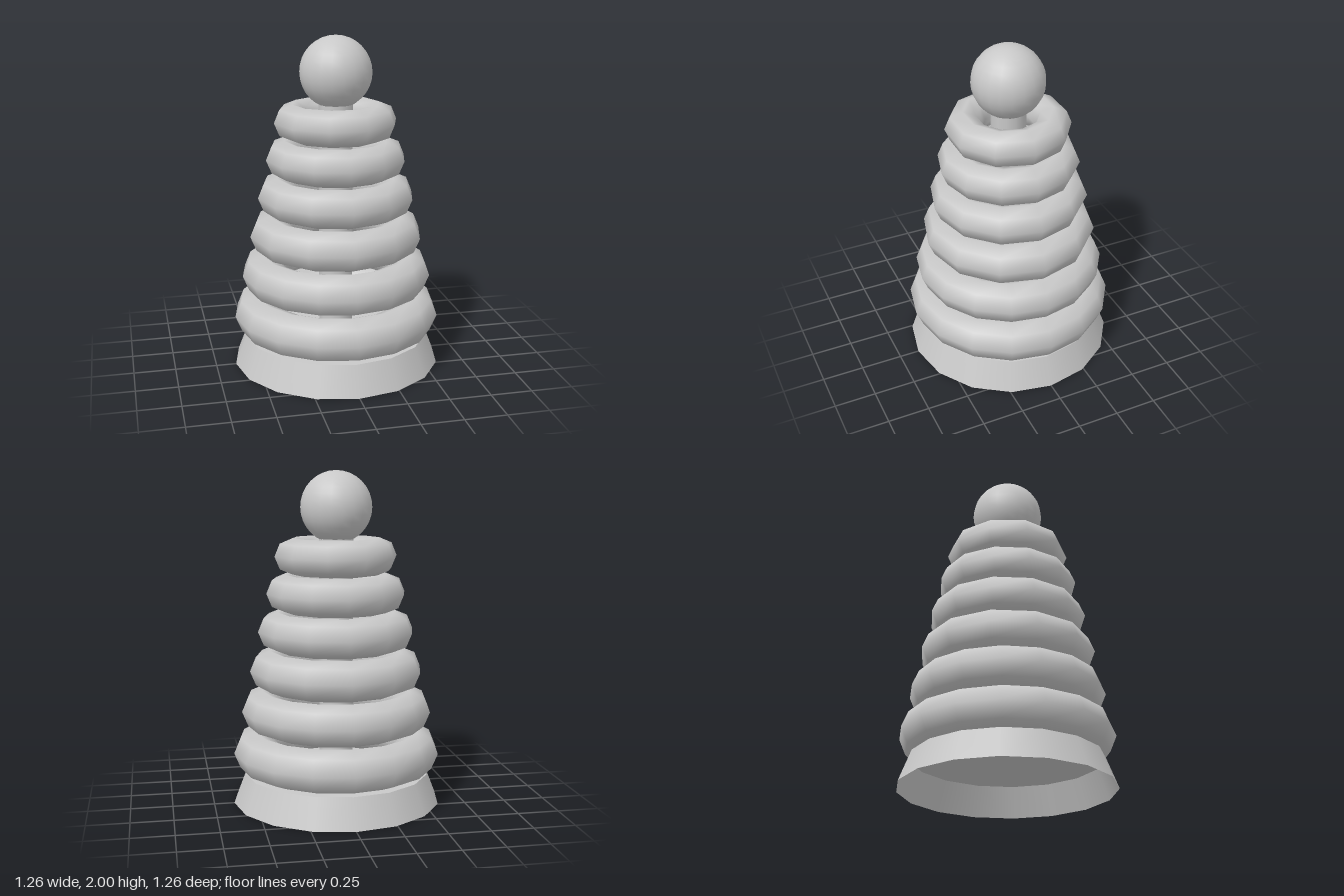
import * as THREE from 'three';

export function createModel() {
  const model = new THREE.Group();
  model.name = 'stackingRings';
  const grey = new THREE.MeshStandardMaterial({ color: 0xc8c8c8, side: THREE.DoubleSide });
  grey.name = 'lightGrey';

  const add = (name, geometry, y) => {
    const mesh = new THREE.Mesh(geometry, grey);
    mesh.name = name;
    mesh.position.y = y;
    model.add(mesh);
  };

  // Hollow tapered foot, open underneath and closed by a plate on top
  const baseHeight = 0.18;
  add('baseWall', new THREE.CylinderGeometry(0.56, 0.63, baseHeight, 16, 1, true), baseHeight / 2);
  add('baseTop', new THREE.CircleGeometry(0.56, 16).rotateX(-Math.PI / 2), baseHeight);

  // Post through the rings, standing on the plate
  const postHeight = 1.45;
  add('post', new THREE.CylinderGeometry(0.104, 0.104, postHeight, 12, 1, true), baseHeight + postHeight / 2);

  // Rings, bottom to top: outer radius, tube radius, sides
  const rings = [
    [0.626, 0.13, 16],
    [0.575, 0.125, 16],
    [0.524, 0.121, 12],
    [0.473, 0.116, 12],
    [0.421, 0.112, 12],
    [0.37, 0.1075, 10],
  ];
  let y = baseHeight;
  rings.forEach(([outer, tube, sides], i) => {
    const ring = new THREE.TorusGeometry(outer - tube, tube, 8, sides).rotateX(Math.PI / 2);
    add(`ring${i + 1}`, ring, y + tube);
    y += 2 * tube;
  });

  // Ball on top
  add('ball', new THREE.SphereGeometry(0.215, 20, 16), 1.785);
  return model;
}
